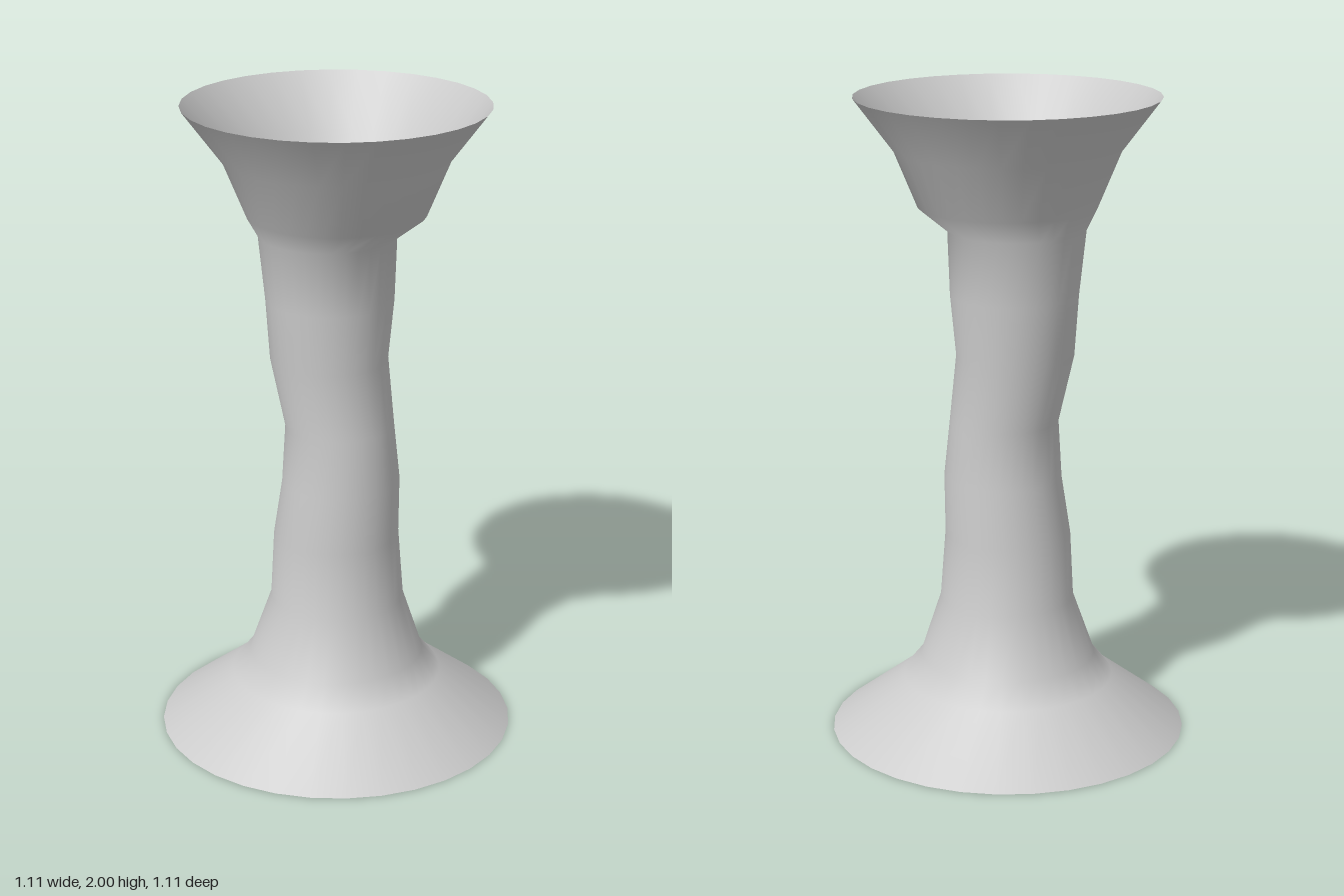
import * as THREE from 'three';

// Cross-sections from foot to rim: [height, left edge x, right edge x, depth radius]
const RINGS = [
  [0, -0.555, 0.555, 0.555],
  [0.17, -0.33, 0.33, 0.33],
  [0.24, -0.273, 0.273, 0.273],
  [0.43, -0.205, 0.211, 0.208],
  [0.64, -0.195, 0.195, 0.194],
  [0.82, -0.165, 0.199, 0.183],
  [1.0, -0.155, 0.18, 0.168],
  [1.21, -0.205, 0.155, 0.182],
  [1.4, -0.218, 0.174, 0.196],
  [1.6, -0.24, 0.18, 0.21],
  [1.67, -0.272, 0.272, 0.272],
  [1.84, -0.342, 0.342, 0.342],
  [2, -0.462, 0.462, 0.462],
];
const SIDES = 32;

// Skin closed rings into one smooth open tube
function loftRings(rings) {
  const positions = [], indices = [];
  rings.forEach(([y, x0, x1, rz], i) => {
    for (let j = 0; j < SIDES; j++) {
      const a = (j / SIDES) * Math.PI * 2;
      positions.push((x0 + x1) / 2 + ((x1 - x0) / 2) * Math.cos(a), y, rz * Math.sin(a));
      if (i === rings.length - 1) continue;
      const k = (j + 1) % SIDES;
      const p = i * SIDES + j, q = i * SIDES + k;
      indices.push(p, p + SIDES, q, q, p + SIDES, q + SIDES);
    }
  });
  const geometry = new THREE.BufferGeometry();
  geometry.setAttribute('position', new THREE.Float32BufferAttribute(positions, 3));
  geometry.setIndex(indices);
  geometry.computeVertexNormals();
  return geometry;
}

export function createModel() {
  const group = new THREE.Group();
  group.name = 'flaredStand';

  // Thin open shell: flared foot, wavering stem and funnel mouth
  const material = new THREE.MeshStandardMaterial({ color: 0xcccccc, side: THREE.DoubleSide });
  const shell = new THREE.Mesh(loftRings(RINGS), material);
  shell.name = 'flaredTube';
  group.add(shell);

  return group;
}
